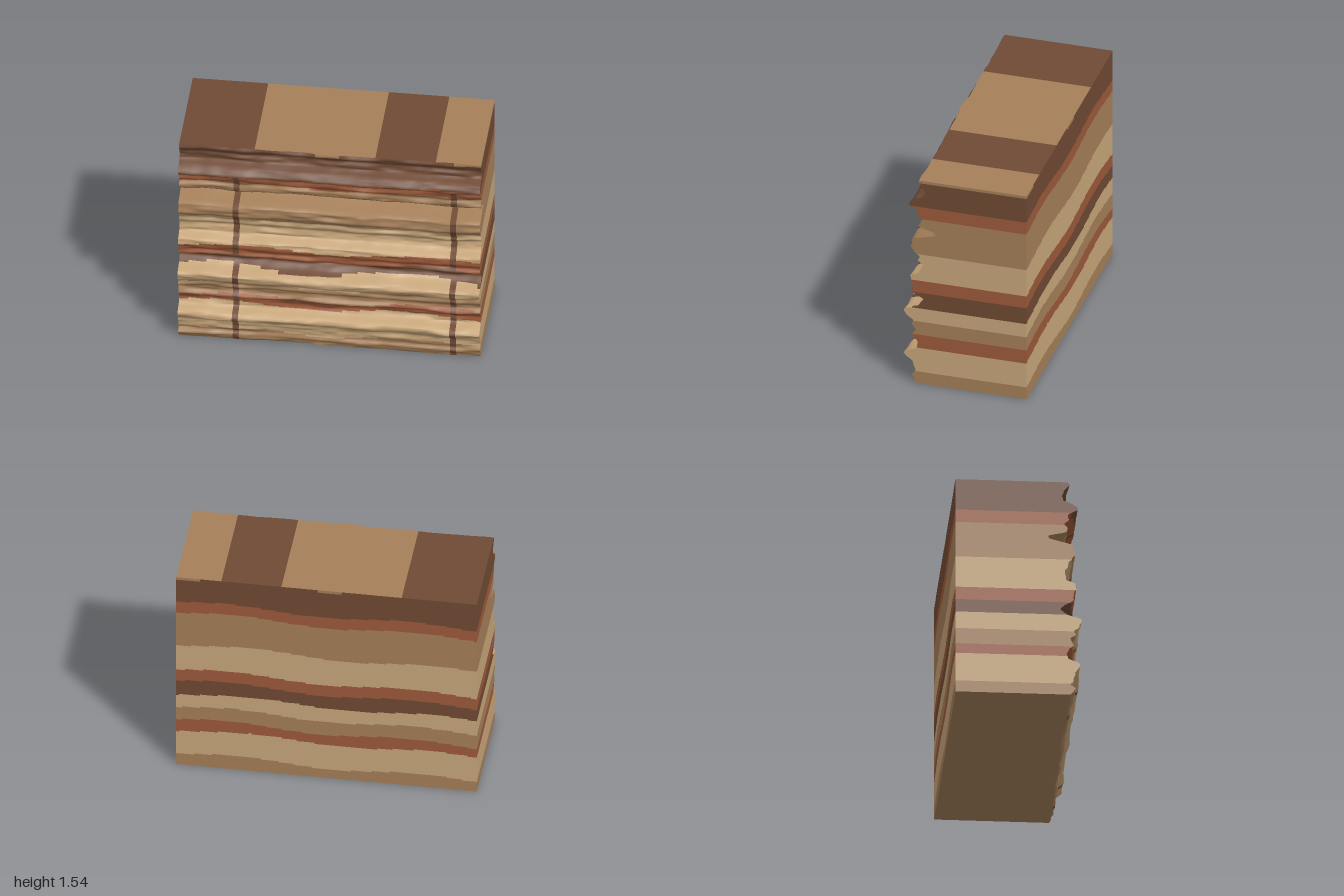
import * as THREE from 'three';

const H = 1.54, BACK = -0.42, COLS = 100, ROWS = 154;

const material = (name, color) => Object.assign(new THREE.MeshStandardMaterial({ color }), { name });
const LIGHT = 0, TAN = 1, RUST = 2, DARK = 3;

// Weathered front profile: height, depth
const PROFILE = [
  [0, .345], [.03, .355], [.05, .37], [.07, .353], [.13, .362], [.16, .37], [.19, .405], [.215, .42], [.24, .4], [.26, .33],
  [.3, .322], [.33, .335], [.36, .37], [.39, .345], [.41, .345], [.44, .375], [.47, .368], [.5, .405], [.53, .418], [.555, .41],
  [.58, .325], [.62, .28], [.65, .305], [.69, .37], [.72, .358], [.76, .38], [.81, .375], [.835, .31], [.9, .3], [.93, .33],
  [.965, .325], [.985, .345], [1.02, .375], [1.09, .37], [1.11, .29], [1.135, .2], [1.155, .21], [1.18, .31], [1.22, .32], [1.24, .305],
  [1.27, .335], [1.31, .335], [1.345, .388], [1.365, .375], [1.395, .345], [1.41, .29], [1.47, .285], [1.49, .305], [1.52, .33], [1.54, .322],
];

// Strata from the ground up: upper limit, colour
const STRATA = [
  [.085, TAN], [.28, LIGHT], [.365, RUST], [.47, TAN], [.58, LIGHT], [.685, DARK],
  [.775, RUST], [.985, LIGHT], [1.245, TAN], [1.33, RUST], [9, DARK],
];

function hash(i, j) {
  let h = Math.imul(i + 311, 374761393) ^ Math.imul(j + 97, 668265263);
  h = Math.imul(h ^ (h >>> 13), 1274126177);
  return ((h ^ (h >>> 16)) >>> 0) / 4294967296;
}

function noise(x, y) {
  const i = Math.floor(x), j = Math.floor(y);
  const s = THREE.MathUtils.smoothstep(x - i, 0, 1), t = THREE.MathUtils.smoothstep(y - j, 0, 1);
  const { lerp } = THREE.MathUtils;
  return lerp(lerp(hash(i, j), hash(i + 1, j), s), lerp(hash(i, j + 1), hash(i + 1, j + 1), s), t) * 2 - 1;
}

// Depth of the eroded face: profile plus thin, long ledges
function frontZ(x, y) {
  const yy = THREE.MathUtils.clamp(y + 0.005 * noise(x * 5, 40), 0, H);
  let k = 1;
  while (k < PROFILE.length - 1 && PROFILE[k][0] < yy) k++;
  const [y0, z0] = PROFILE[k - 1], [y1, z1] = PROFILE[k];
  const z = z0 + (z1 - z0) * Math.min(1, (yy - y0) / (y1 - y0));
  return z - 0.005 + 0.009 * noise(x * 5, y / 0.024) + 0.004 * noise(x * 14, y / 0.016 + 500);
}

function stratum(x, y) {
  if (y > H - 0.02 && (x > 0.83 || (x > -0.1 && x < 0.06))) return TAN;
  const k = STRATA.findIndex(([top], i) =>
    y < top + 0.004 + 0.006 * x - 0.018 * Math.cos(5.2 * x + 0.1 + 0.5 * Math.sin(i * 2)));
  return STRATA[k][1];
}

// Dark vertical joints crossing the front
function frontColour(x, y) {
  const joint = (Math.abs(x + 0.62) < 0.019 && y < 1.37) || (Math.abs(x - 0.82) < 0.019 && y < 1.33);
  return joint ? DARK : stratum(x, y);
}

const topColour = (x) => (x < -0.5 || (x > 0.3 && x < 0.7) ? DARK : TAN);

// Grid surface whose cells are grouped by colour; u runs right and v up seen from outside
function sheet(name, nu, nv, point, colour, materials) {
  const positions = [], cells = materials.map(() => []);
  for (let j = 0; j <= nv; j++)
    for (let i = 0; i <= nu; i++) positions.push(...point(i / nu, j / nv));
  for (let j = 0; j < nv; j++)
    for (let i = 0; i < nu; i++) {
      const a = j * (nu + 1) + i, d = a + nu + 1;
      cells[colour((i + 0.5) / nu, (j + 0.5) / nv)].push(a, a + 1, d + 1, a, d + 1, d);
    }
  const geometry = new THREE.BufferGeometry();
  geometry.setAttribute('position', new THREE.Float32BufferAttribute(positions, 3));
  geometry.setIndex(cells.flat());
  let start = 0;
  cells.forEach((list, m) => {
    if (list.length) geometry.addGroup(start, list.length, m);
    start += list.length;
  });
  geometry.computeVertexNormals();
  const mesh = new THREE.Mesh(geometry, materials);
  mesh.name = name;
  return mesh;
}

export function createModel() {
  const materials = [
    material('pale sandstone', 0xc8a67a), material('tan sandstone', 0xa57f59),
    material('rust stone', 0x9d5a3a), material('dark brown stone', 0x704a34),
  ];
  const { lerp } = THREE.MathUtils;
  const X = (u) => u * 2 - 1;
  const model = new THREE.Group();
  model.name = 'cliffBlock';
  model.add(
    sheet('erodedFront', COLS, ROWS, (u, v) => [X(u), v * H, frontZ(X(u), v * H)],
      (u, v) => frontColour(X(u), v * H), materials),
    sheet('flatBack', COLS, ROWS, (u, v) => [-X(u), v * H, BACK],
      (u, v) => stratum(-X(u), v * H), materials),
    sheet('leftSide', 1, ROWS, (u, v) => [1, v * H, lerp(frontZ(1, v * H), BACK, u)],
      (u, v) => stratum(1, v * H), materials),
    sheet('rightSide', 1, ROWS, (u, v) => [-1, v * H, lerp(BACK, frontZ(-1, v * H), u)],
      (u, v) => stratum(-1, v * H), materials),
    sheet('top', COLS, 1, (u, v) => [X(u), H, lerp(frontZ(X(u), H), BACK, v)],
      (u) => topColour(X(u)), materials),
    sheet('underside', COLS, 1, (u, v) => [X(u), 0, lerp(BACK, frontZ(X(u), 0), v)],
      () => TAN, materials),
  );
  return model;
}
